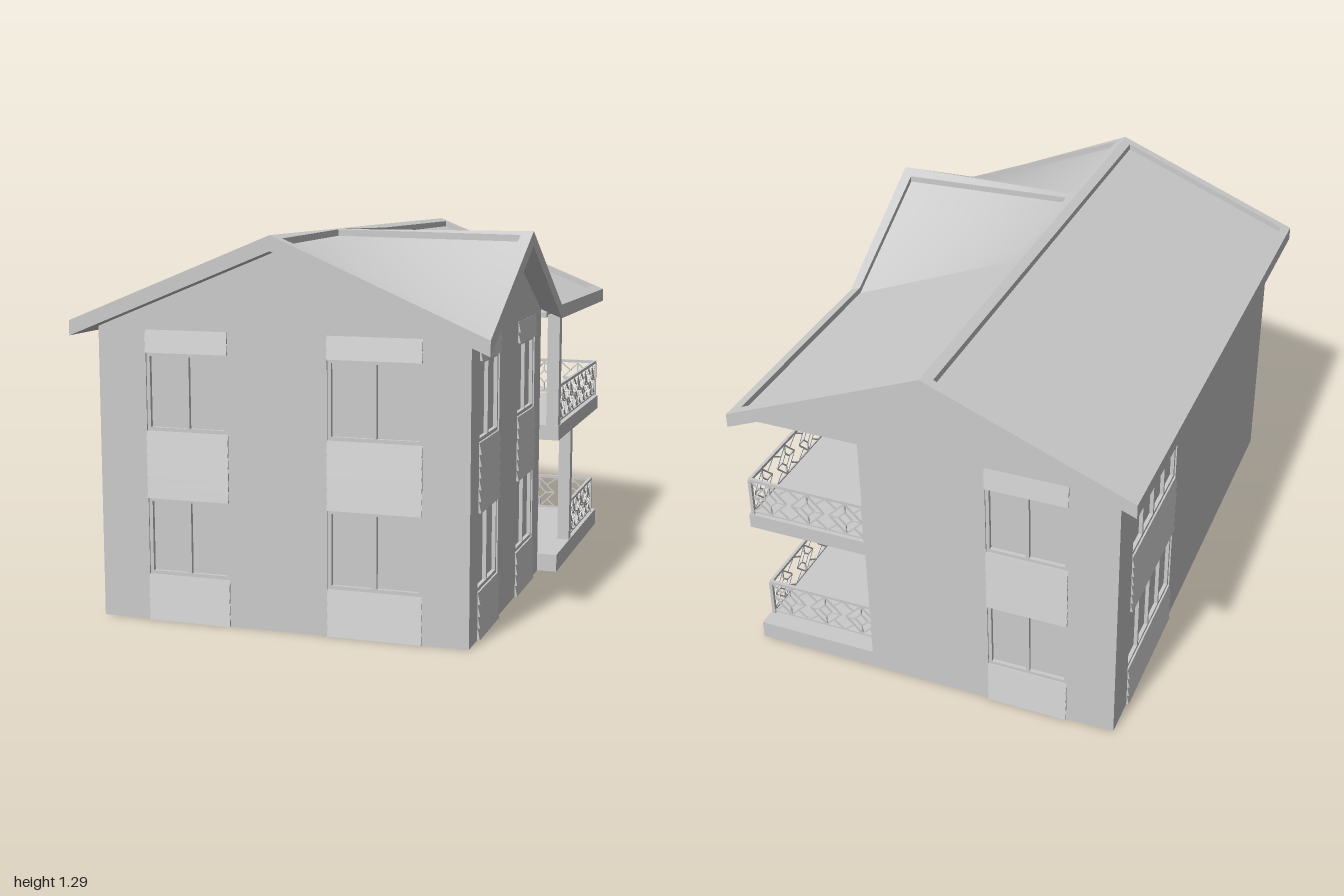
import * as THREE from 'three';

const mat = new THREE.MeshStandardMaterial({ color: 0xcccccc, side: THREE.DoubleSide });

function add(parent, name, geo, x = 0, y = 0, z = 0) {
  const m = new THREE.Mesh(geo, mat);
  m.name = name;
  m.position.set(x, y, z);
  parent.add(m);
  return m;
}

// box given by its limits
function block(parent, name, x0, x1, y0, y1, z0, z1) {
  return add(parent, name, new THREE.BoxGeometry(x1 - x0, y1 - y0, z1 - z0),
    (x0 + x1) / 2, (y0 + y1) / 2, (z0 + z1) / 2);
}

const polygon = pts => new THREE.Shape(pts.map(p => new THREE.Vector2(...p)));
const extrude = (shape, depth) => new THREE.ExtrudeGeometry(shape, { depth, bevelEnabled: false });

// ---------- walls ----------
const WALL_TOP = 0.965, T = 0.03;
const windowRows = [[0.155, 0.415], [0.64, 0.9]];
const louverRows = [[0, 0.155, 4], [0.415, 0.64, 6], [0.9, 0.975, 2]];

// wall in its own frame: x along the wall, outer face at z = 0
function wall(parent, name, u0, u1, bays, position, turn) {
  const g = new THREE.Group();
  g.name = name;
  const shape = polygon([[u0, 0], [u1, 0], [u1, WALL_TOP], [u0, WALL_TOP]]);
  for (const [a, b, panes] of bays) {
    for (const [y0, y1] of windowRows) {
      shape.holes.push(new THREE.Path([[a, y0], [a, y1], [b, y1], [b, y0]].map(p => new THREE.Vector2(...p))));
      block(g, 'windowPane', a, b, y0, y1, -T, -0.018);
      for (const y of [y0, y1 - 0.012]) block(g, 'windowFrame', a, b, y, y + 0.012, -0.02, -0.005);
      for (let i = 0; i <= panes; i++) {
        const x = a + 0.006 + (b - a - 0.012) * i / panes;
        block(g, 'windowFrame', x - 0.006, x + 0.006, y0, y1, -0.02, -0.005);
      }
    }
    // tilted slats above and below the windows
    for (const [y0, y1, n] of louverRows) {
      const h = (y1 - y0) / n;
      for (let i = 0; i < n; i++) {
        const slat = extrude(polygon([[-0.002, 0], [0.009, 0], [0.001, h], [-0.002, h]]), b - a);
        slat.rotateY(-Math.PI / 2);
        add(g, 'louverSlat', slat, b, y0 + i * h, 0);
      }
    }
  }
  add(g, 'wallPanel', extrude(shape, T), 0, 0, -T);
  g.position.set(...position);
  g.rotation.y = turn;
  parent.add(g);
  return g;
}

// double door with arched upper panels, same frame as a wall
function door(parent, u, y, h) {
  const g = new THREE.Group();
  g.name = 'balconyDoor';
  block(g, 'doorLeaf', -0.09, 0.09, 0, h, 0, 0.008);
  for (const s of [-1, 1]) {
    block(g, 'lowerPanel', s * 0.045 - 0.032, s * 0.045 + 0.032, 0.025, 0.15, 0.008, 0.013);
    const p = polygon([[0.013, 0.18], [0.077, 0.18], [0.077, h - 0.06]]);
    p.quadraticCurveTo(0.06, h - 0.025, 0.013, h - 0.02);
    const m = add(g, 'upperPanel', extrude(p, 0.005), 0, 0, 0.008);
    m.scale.x = s;
    block(g, 'doorHandle', s * 0.008 - 0.003, s * 0.008 + 0.003, 0.16, 0.2, 0.008, 0.02);
  }
  g.position.set(u, y, 0);
  parent.add(g);
}

// ---------- balcony railing ----------
function bar(parent, name, a, b, w = 0.005) {
  const p = new THREE.Vector3(...a), q = new THREE.Vector3(...b);
  const m = add(parent, name, new THREE.BoxGeometry(w, w, p.distanceTo(q)));
  m.position.copy(p).add(q).multiplyScalar(0.5);
  m.lookAt(q);
}

function railing(parent, length, n, position, turn) {
  const g = new THREE.Group();
  g.name = 'balconyRailing';
  const top = 0.142, cy = 0.072, w = length / n;
  bar(g, 'handrail', [0, top, 0], [length, top, 0], 0.011);
  bar(g, 'bottomRail', [0, 0.01, 0], [length, 0.01, 0], 0.006);
  for (const x of [0, length]) bar(g, 'railPost', [x, 0, 0], [x, top, 0], 0.012);
  const turns = [[1, 0], [0, 1], [-1, 0], [0, -1]];
  for (let i = 0; i < n; i++) {
    const cx = (i + 0.5) * w;
    turns.forEach(([dx, dy], k) => {
      const [ex, ey] = turns[(k + 1) % 4];
      for (const r of [0.062, 0.026])
        bar(g, 'diamond', [cx + dx * r, cy + dy * r, 0], [cx + ex * r, cy + ey * r, 0]);
      bar(g, 'spoke', [cx + dx * 0.026, cy + dy * 0.026, 0], [cx + dx * 0.062, cy + dy * 0.062, 0]);
      const sx = dx + ex, sy = dy + ey;
      bar(g, 'brace', [cx + sx * 0.031, cy + sy * 0.031, 0], [cx + sx * w / 2, cy + sy * 0.064, 0]);
    });
  }
  g.position.set(...position);
  g.rotation.y = turn;
  parent.add(g);
}

// ---------- roof ----------
const RIDGE = 1.29, CROSS = 0.41, VALLEY = -0.1, EX = 0.707;
const lerp = THREE.MathUtils.lerp;

// height of the right-hand edge, which rises to the cross gable
function edgeHeight(z) {
  if (z > CROSS) return lerp(RIDGE, 0.985, (z - CROSS) / (1 - CROSS));
  if (z > VALLEY) return lerp(1.005, RIDGE, (z - VALLEY) / (CROSS - VALLEY));
  return lerp(1.0, 1.005, (z + 1) / (VALLEY + 1));
}
const roofHeight = (x, z) => x <= 0 ? RIDGE + 0.403 * x : lerp(RIDGE, edgeHeight(z), x / EX);

// slab that follows the roof surface, split at the breaks in slope
function roofPiece(parent, name, x0, x1, z0, z1, drop = 0) {
  const cuts = [z0, ...[VALLEY, CROSS].filter(c => x1 > 0 && c > z0 && c < z1), z1];
  for (let k = 0; k + 1 < cuts.length; k++) {
    const a = cuts[k], b = cuts[k + 1];
    const geo = new THREE.BoxGeometry(x1 - x0, 1, b - a, 10, 1, 10);
    geo.translate((x0 + x1) / 2, 0, (a + b) / 2);
    const p = geo.attributes.position;
    for (let i = 0; i < p.count; i++)
      p.setY(i, roofHeight(p.getX(i), p.getZ(i)) - (p.getY(i) > 0 ? drop : 0.05));
    geo.computeVertexNormals();
    add(parent, name, geo);
  }
}

export function createModel() {
  const model = new THREE.Group();
  model.name = 'house';
  const Q = Math.PI / 2;

  // walls, L-shaped in plan around the balcony corner
  wall(model, 'frontWall', -0.64, 0.63, [[-0.47, -0.18, 2], [0.16, 0.475, 2]], [0, 0, 0.925], 0);
  wall(model, 'leftSideWall', -0.925, 0.1, [[-0.82, -0.55, 2], [-0.28, -0.005, 2]], [0.63, 0, 0], Q);
  wall(model, 'backWall', -0.26, 0.64, [[0.185, 0.47, 2]], [0, 0, -0.945], Math.PI);
  wall(model, 'rightSideWall', -0.945, 0.925, [[-0.805, -0.32, 4]], [-0.64, 0, 0], -Q);
  wall(model, 'balconyEndWall', -0.63, -0.26, [], [0, 0, VALLEY], Math.PI);
  const inner = wall(model, 'balconyWall', 0.1, 0.945, [], [0.26, 0, 0], Q);
  door(inner, 0.23, 0.065, 0.42);
  door(inner, 0.23, 0.555, 0.395);
  block(model, 'groundFloor', -0.64, 0.63, 0, 0.01, -0.945, 0.925);

  // gable ends
  const gable = polygon([[-0.64, WALL_TOP], [0.63, WALL_TOP], [0.63, 0.98], [0, 1.245], [-0.64, 0.99]]);
  add(model, 'frontGable', extrude(gable, T), 0, 0, 0.925 - T);
  add(model, 'backGable', extrude(gable, T), 0, 0, -0.945);
  const side = polygon([[-0.925, WALL_TOP], [0.1, WALL_TOP], [0.1, 0.985], [-CROSS, 1.245], [-0.925, 1.0]]);
  const sideGeo = extrude(side, T);
  sideGeo.rotateY(Q);
  add(model, 'sideGable', sideGeo, 0.63 - T, 0, 0);

  // balcony slabs, pillars, ceiling and railings
  for (const [y0, y1] of [[0, 0.065], [0.5, 0.555]])
    block(model, 'balconySlab', 0.25, 0.703, y0, y1, -0.945, VALLEY);
  block(model, 'balconyCeiling', 0.25, 0.65, 0.955, 0.975, -0.945, VALLEY);
  block(model, 'lowerPillar', 0.655, 0.7, 0.065, 0.5, -0.4, -0.358);
  block(model, 'upperPillar', 0.655, 0.7, 0.555, 0.965, -0.145, -0.103);
  railing(model, 0.48, 3, [0.69, 0.065, -0.4], Q);
  railing(model, 0.43, 3, [0.26, 0.065, -0.88], 0);
  railing(model, 0.79, 5, [0.69, 0.555, -0.145], Q);
  railing(model, 0.43, 3, [0.26, 0.555, -0.935], 0);

  // roof panels, sunk between raised rims
  roofPiece(model, 'roofPanel', -0.675, -0.032, -0.965, 0.965, 0.022);
  roofPiece(model, 'roofPanel', 0.028, 0.668, -0.965, 0.375, 0.022);
  roofPiece(model, 'roofPanel', 0.028, 0.668, 0.435, 0.965, 0.022);
  roofPiece(model, 'eaveRim', -EX, -0.675, -1, 1);
  roofPiece(model, 'eaveRim', 0.668, EX, -1, 1);
  roofPiece(model, 'ridgeRim', -0.032, 0, -1, 1);
  roofPiece(model, 'ridgeRim', 0, 0.028, -1, 1);
  for (const [z0, z1] of [[-1, -0.965], [0.965, 1]]) {
    roofPiece(model, 'gableRim', -0.675, -0.032, z0, z1);
    roofPiece(model, 'gableRim', 0.028, 0.668, z0, z1);
  }
  roofPiece(model, 'crossRidgeRim', 0.028, 0.668, 0.375, 0.435);
  return model;
}
